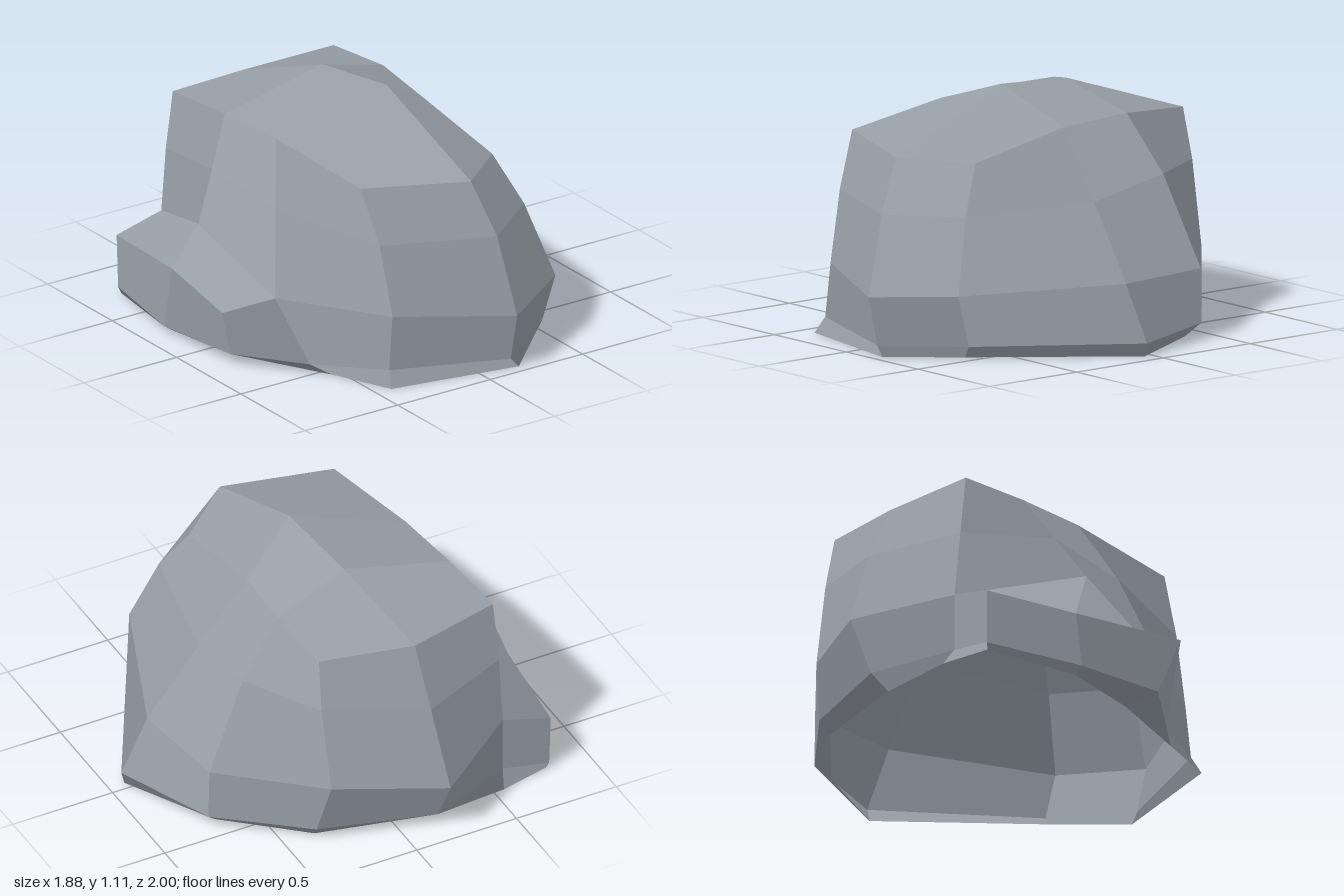
import * as THREE from 'three';

// Horizontal rings of the boulder, running counterclockwise seen from above, starting at the front.
const ground = [
  [0.19, 0, 0.95], [0.43, 0, 0.67], [0.92, 0, 0.04], [0.69, 0, -0.38], [0.345, 0, -0.68], [-0.17, 0, -0.78],
  [-0.55, 0, -0.785], [-0.79, 0, -0.73], [-0.84, 0, -0.26], [-0.73, 0, 0.13], [-0.545, 0, 0.55], [-0.42, 0, 0.835],
];
const foot = [
  [0.15, 0.045, 0.945], [0.49, 0.06, 0.70], [0.935, 0.06, 0.04], [0.745, 0.065, -0.43], [0.36, 0.06, -0.73], [-0.17, 0.06, -0.88],
  [-0.57, 0.075, -0.735], [-0.80, 0.03, -0.74], [-0.885, 0.03, -0.26], [-0.855, 0.055, 0.21], [-0.605, 0.035, 0.47], [-0.40, 0.07, 0.79],
];
const belly = [
  [0.15, 0.27, 0.995], [0.51, 0.30, 0.775], [0.80, 0.31, 0.05], [0.74, 0.31, -0.43], [0.315, 0.305, -0.785], [-0.17, 0.285, -1.0],
  [-0.57, 0.345, -0.735], [-0.805, 0.28, -0.745], [-0.845, 0.30, -0.26], [-0.94, 0.295, 0.27], [-0.70, 0.33, 0.335], [-0.375, 0.317, 0.78],
];
// Inner corner of the ledge, where it meets the upper wall
const ledgeBack = [-0.78, 0.54, -0.145];
const wallFoot = [...belly.slice(0, 7), ledgeBack, ...belly.slice(10)];
const wall = [
  [0.115, 0.625, 0.89], [0.42, 0.63, 0.66], [0.555, 0.64, 0.03], [0.545, 0.715, -0.375], [0.33, 0.705, -0.72], [-0.14, 0.645, -0.87],
  [-0.57, 0.66, -0.70], [-0.655, 0.745, -0.22], [-0.60, 0.69, 0.195], [-0.395, 0.64, 0.71],
];
const shoulder = [
  [0.06, 0.86, 0.765], [0.335, 0.845, 0.535], [0.32, 0.94, 0.01], [0.345, 0.965, -0.33], [0.32, 0.945, -0.675], [-0.13, 0.915, -0.735],
  [-0.56, 0.945, -0.66], [-0.53, 0.955, -0.30], [-0.495, 0.95, 0.05], [-0.43, 0.89, 0.61],
];
const peak = [0.04, 1.11, 0.14], backPeak = [-0.015, 1.075, -0.28];

// One four-sided facet, split along its outward or inward fold and shaded as a single plane
function facet(corners, inward) {
  const [a, b, c, d] = corners.map((p) => new THREE.Vector3(...p));
  const normal = c.clone().sub(a).cross(d.clone().sub(b)).normalize();
  const foldAC = a.clone().add(c).dot(normal) >= b.clone().add(d).dot(normal);
  const order = foldAC !== inward ? [a, b, c, a, c, d] : [a, b, d, b, c, d];
  return order.map((point) => ({ point, normal }));
}

// Facets between a lower and an upper row of points
function strip(lower, upper, { closed = false, inward = false } = {}) {
  const out = [];
  const count = closed ? lower.length : lower.length - 1;
  for (let i = 0; i < count; i++) {
    const j = (i + 1) % lower.length;
    out.push(...facet([lower[i], lower[j], upper[j], upper[i]], inward));
  }
  return out;
}

export function createModel() {
  const stone = new THREE.MeshStandardMaterial({ color: 0x979fa6, side: THREE.DoubleSide });
  stone.name = 'grey stone';
  const group = new THREE.Group();
  group.name = 'boulder';

  const add = (name, corners) => {
    const geometry = new THREE.BufferGeometry().setFromPoints(corners.map((k) => k.point));
    const normals = corners.flatMap((k) => k.normal.toArray());
    geometry.setAttribute('normal', new THREE.Float32BufferAttribute(normals, 3));
    const mesh = new THREE.Mesh(geometry, stone);
    mesh.name = name;
    group.add(mesh);
  };
  const ring = { closed: true };

  // Open-bottomed base
  add('base', [...strip(ground, foot, ring), ...strip(foot, belly, ring)]);

  // Ledge jutting out on one side, creased inward where it meets the wall
  add('ledgeTop', strip(belly.slice(7, 10), [belly[6], ledgeBack, belly[10]], { inward: true }));

  // Upper wall
  add('upperWall', [...strip(wallFoot, wall, ring), ...strip(wall, shoulder, ring)]);

  // Crown, as rows from front to back
  const s = shoulder;
  const rows = [[s[9], s[0], s[1]], [s[8], peak, s[2]], [s[7], backPeak, s[3]], [s[6], s[5], s[4]]];
  add('crown', [0, 1, 2].flatMap((i) => strip(rows[i], rows[i + 1])));

  return group;
}
